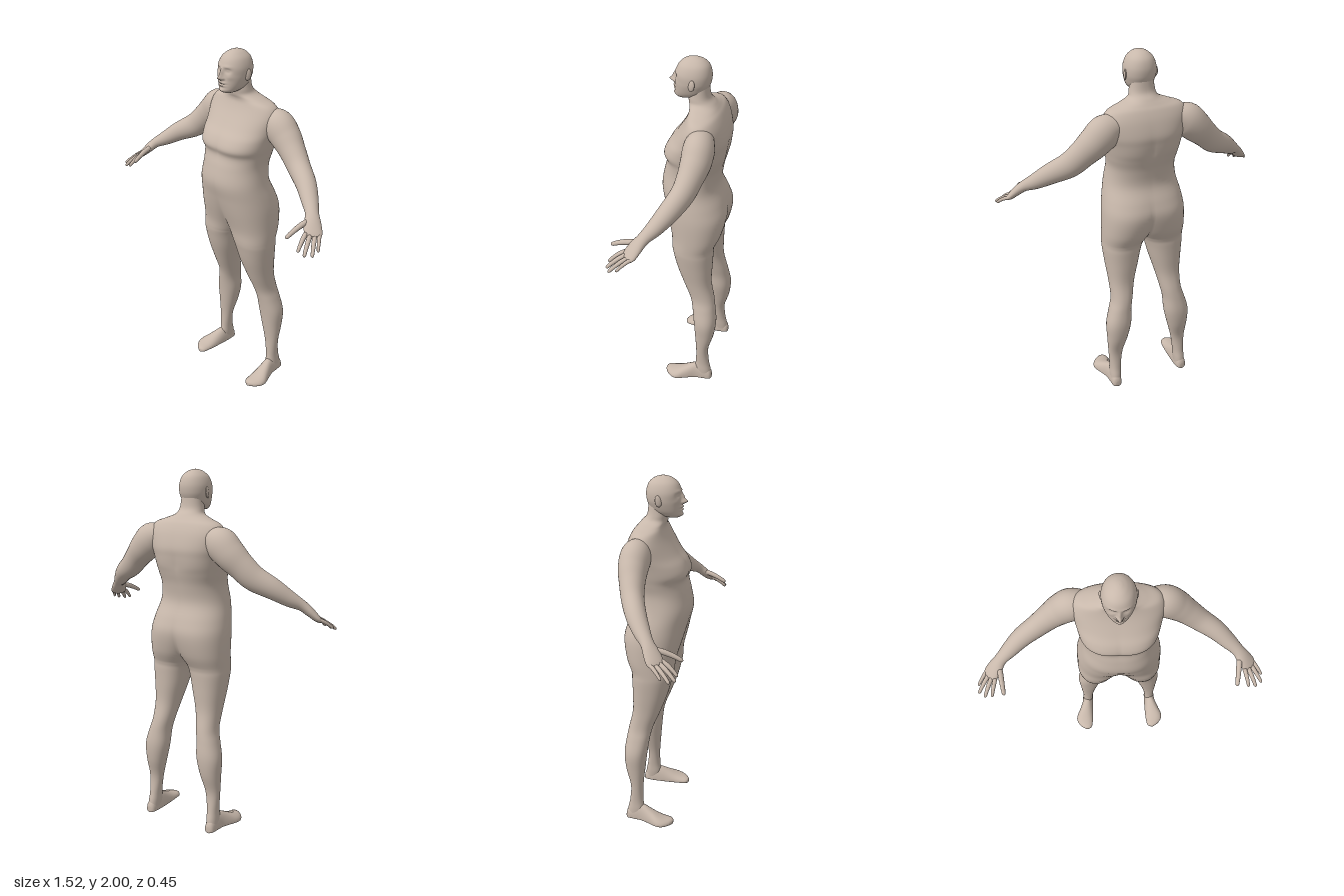
import * as THREE from 'three';
import { mergeVertices, mergeGeometries } from 'three/addons/utils/BufferGeometryUtils.js';

const skin = new THREE.MeshStandardMaterial({ color: 0xc8b8ab });
skin.name = 'skin';

// Catmull-Rom interpolation of key rows, keeping every key row exactly
function interpolate(keys, steps) {
  const out = [];
  const last = keys.length - 1;
  for (let i = 0; i < last; i++) {
    const p = [keys[Math.max(i - 1, 0)], keys[i], keys[i + 1], keys[Math.min(i + 2, last)]];
    for (let s = 0; s < steps; s++) {
      const t = s / steps;
      out.push(p[1].map((b, k) => {
        const a = p[0][k], c = p[2][k], d = p[3][k];
        return b + 0.5 * t * (c - a + t * (2 * a - 5 * b + 4 * c - d + t * (3 * (b - c) + d - a)));
      }));
    }
  }
  out.push(keys[last]);
  return out;
}

const power = (v, n) => Math.sign(v) * Math.pow(Math.abs(v), 2 / n);

// Smooth skin over rows of points; rows that touch x = 0 meet their mirror image
function loft(rows) {
  const n = rows[0].length, index = [];
  for (let i = 0; i < rows.length - 1; i++) {
    for (let j = 0; j < n - 1; j++) {
      const a = i * n + j, b = a + 1, c = a + n, d = c + 1;
      index.push(a, b, c, b, d, c);
    }
  }
  let geo = new THREE.BufferGeometry().setFromPoints(rows.flat());
  geo.setIndex(index);
  geo = mergeVertices(geo, 1e-5);
  geo.computeVertexNormals();
  const pos = geo.attributes.position, nor = geo.attributes.normal;
  const v = new THREE.Vector3();
  for (let i = 0; i < pos.count; i++) {
    if (Math.abs(pos.getX(i)) > 1e-5) continue;
    v.set(0, nor.getY(i), nor.getZ(i));
    if (v.length() < 1e-4) v.set(0, -1, 0);
    v.normalize();
    nor.setXYZ(i, v.x, v.y, v.z);
  }
  return geo;
}

function mirror(geo) {
  const copy = geo.clone().scale(-1, 1, 1);
  const ix = copy.index.array;
  for (let i = 0; i < ix.length; i += 3) [ix[i], ix[i + 1]] = [ix[i + 1], ix[i]];
  return copy;
}

// Left half of a level section: [y, inner x, outer x, front z, back z].
// A negative inner x is cut off at the middle plane.
function halfSection([y, xi, xo, zf, zb], segments, n) {
  const cx = (xi + xo) / 2, a = (xo - xi) / 2, cz = (zf + zb) / 2, b = (zf - zb) / 2;
  const end = xi >= 0 ? Math.PI : Math.acos(-Math.pow(Math.max(cx, 0) / a, n / 2));
  return Array.from({ length: segments + 1 }, (_, j) => {
    const t = end * (2 * j / segments - 1);
    return new THREE.Vector3(Math.max(0, cx + a * power(Math.cos(t), n)), y, cz + b * power(Math.sin(t), n));
  });
}

// Limb along keys [x, y, z, half width, half thickness], closed at both ends
function limb(keys, steps, segments) {
  const pts = interpolate(keys, steps);
  const centre = pts.map(p => new THREE.Vector3(p[0], p[1], p[2]));
  const up = new THREE.Vector3(0, 1, 0);
  const rows = pts.map((p, i) => {
    const dir = centre[Math.min(i + 1, pts.length - 1)].clone().sub(centre[Math.max(i - 1, 0)]).normalize();
    const u = up.clone().cross(dir).normalize(), v = dir.clone().cross(u);
    return Array.from({ length: segments + 1 }, (_, j) => {
      const t = 2 * Math.PI * j / segments;
      return centre[i].clone().addScaledVector(u, p[3] * Math.cos(t)).addScaledVector(v, p[4] * Math.sin(t));
    });
  });
  rows.unshift(rows[0].map(() => centre[0].clone()));
  rows.push(rows[1].map(() => centre[centre.length - 1].clone()));
  return loft(rows);
}

// Neck, trunk and leg in one run; the legs part where inner x reaches 0
const BODY = [
  [1.86, -.06, .06, .005, -.1], [1.8, -.068, .068, .005, -.108], [1.768, -.082, .082, .0, -.135],
  [1.745, -.14, .14, -.008, -.155], [1.72, -.2, .205, -.005, -.175], [1.67, -.2, .232, .018, -.198],
  [1.6, -.17, .225, .062, -.215], [1.55, -.14, .215, .1, -.212], [1.5, -.125, .206, .12, -.205],
  [1.455, -.15, .196, .108, -.195], [1.39, -.165, .187, .125, -.18], [1.3, -.185, .2, .14, -.174],
  [1.21, -.155, .22, .12, -.207], [1.13, -.112, .232, .1, -.225], [1.02, -.046, .236, .07, -.205],
  [.945, 0, .236, .062, -.174], [.9, .018, .235, .053, -.17], [.81, .04, .226, .03, -.167],
  [.7, .07, .215, -.01, -.167], [.6, .092, .214, -.05, -.188], [.53, .105, .232, -.067, -.2],
  [.44, .11, .255, -.08, -.21], [.34, .132, .252, -.09, -.2], [.23, .16, .245, -.1, -.172],
  [.13, .175, .24, -.1, -.178], [.07, .178, .243, -.095, -.19], [.02, .182, .243, -.11, -.195],
];

const HEAD = [
  [2, -.001, .001, -.021, -.023], [1.997, -.018, .018, .0, -.045], [1.985, -.042, .042, .03, -.075],
  [1.96, -.067, .067, .057, -.1], [1.92, -.082, .082, .073, -.112], [1.88, -.083, .083, .073, -.11],
  [1.85, -.077, .077, .075, -.1], [1.82, -.066, .066, .076, -.085], [1.8, -.05, .05, .075, -.05],
  [1.788, -.03, .03, .06, .0], [1.785, -.001, .001, .03, .028],
];

// Face relief: [x, y, height, spread x, spread y]
const FACE = [
  [0, 1.87, .03, .011, .013], [0, 1.893, .016, .008, .02], [.013, 1.866, .008, .006, .006],
  [.032, 1.906, -.012, .017, .011], [.032, 1.906, .007, .011, .006], [.03, 1.925, .004, .022, .007],
  [0, 1.843, .011, .02, .006], [0, 1.829, .01, .018, .006], [0, 1.836, -.006, .024, .003],
  [0, 1.803, .008, .02, .012], [.045, 1.875, .004, .018, .014],
];

const ARM = [
  [.14, 1.66, -.11, .05, .045], [.22, 1.63, -.112, .078, .088], [.285, 1.575, -.112, .077, .084],
  [.345, 1.52, -.1, .066, .073], [.41, 1.462, -.08, .058, .067], [.5, 1.41, -.038, .052, .055],
  [.57, 1.36, .008, .043, .042], [.622, 1.325, .048, .034, .029], [.652, 1.293, .076, .042, .025],
  [.682, 1.258, .101, .045, .019], [.696, 1.243, .113, .036, .013],
];

// Finger base and tip points, then radius
const FINGERS = [
  ['indexFinger', [.66, 1.258, .13], [.685, 1.196, .212], .0115],
  ['middleFinger', [.678, 1.253, .118], [.725, 1.187, .21], .012],
  ['ringFinger', [.692, 1.25, .1], [.757, 1.19, .188], .0115],
  ['littleFinger', [.702, 1.253, .078], [.758, 1.203, .148], .01],
  ['thumb', [.632, 1.3, .085], [.614, 1.247, .222], .0145],
];

// Foot sections from heel to toe: [z, inner x, outer x, top y]
const FOOT = [
  [-.2, .2, .226, .035], [-.188, .186, .241, .065], [-.15, .18, .246, .095], [-.1, .179, .252, .1],
  [-.045, .18, .274, .076], [0, .182, .292, .055], [.035, .185, .288, .042], [.065, .19, .266, .034],
  [.08, .2, .245, .028], [.086, .215, .232, .02],
];

function footGeometry() {
  const mid = .014;
  const rows = interpolate(FOOT, 4).map(([z, xi, xo, top]) => Array.from({ length: 33 }, (_, j) => {
    const t = 2 * Math.PI * j / 32, s = Math.sin(t);
    const y = s > 0 ? mid + (top - mid) * s : mid + mid * power(s, 3.5);
    return new THREE.Vector3((xi + xo) / 2 + (xo - xi) / 2 * power(Math.cos(t), 2.2), y, z);
  }));
  const close = row => row.map(() => new THREE.Vector3((row[0].x + row[16].x) / 2, mid, row[0].z));
  return loft([close(rows[0]), ...rows, close(rows[rows.length - 1])]);
}

function headGeometry() {
  const rows = interpolate(HEAD, 8).map(k => halfSection(k, 64, 2.15));
  for (const p of rows.flat()) {
    const facing = THREE.MathUtils.smoothstep(p.z, 0, .045);
    let dz = 0;
    for (const [x, y, h, sx, sy] of FACE) dz += h * Math.exp(-(((p.x - x) / sx) ** 2) - ((p.y - y) / sy) ** 2);
    p.z += dz * facing;
  }
  return loft(rows);
}

export function createModel() {
  const model = new THREE.Group();
  model.name = 'standingFigure';
  const add = (name, geo, parent = model) => {
    const mesh = new THREE.Mesh(geo, skin);
    mesh.name = name;
    parent.add(mesh);
  };
  const pair = (name, geo) => {
    add('left' + name, geo);
    add('right' + name, mirror(geo));
  };

  // Trunk with legs, and head, each welded from two mirrored halves
  const body = loft(interpolate(BODY, 5).map(k => halfSection(k, 48, 2.2)));
  add('trunkAndLegs', mergeGeometries([body, mirror(body)]));
  const head = headGeometry();
  add('head', mergeGeometries([head, mirror(head)]));

  // Ears
  const ear = new THREE.SphereGeometry(1, 16, 12).scale(.008, .03, .018);
  ear.rotateY(-.3).rotateX(-.15).translate(.083, 1.88, -.03);
  pair('Ear', ear);

  // Arms with palms, then fingers
  pair('Arm', limb(ARM, 6, 32));
  for (const [name, base, tip, r] of FINGERS) {
    const at = (t, k) => [
      ...base.map((b, i) => b + (tip[i] - b) * t + (i === 1 ? .008 * Math.sin(Math.PI * t) : 0)), r * k, r * k];
    const geo = limb([at(0, 1), at(.35, 1), at(.7, .85), at(.92, .72), at(.98, .45), at(1, .15)], 3, 12);
    pair(name[0].toUpperCase() + name.slice(1), geo);
  }

  pair('Foot', footGeometry());
  return model;
}
